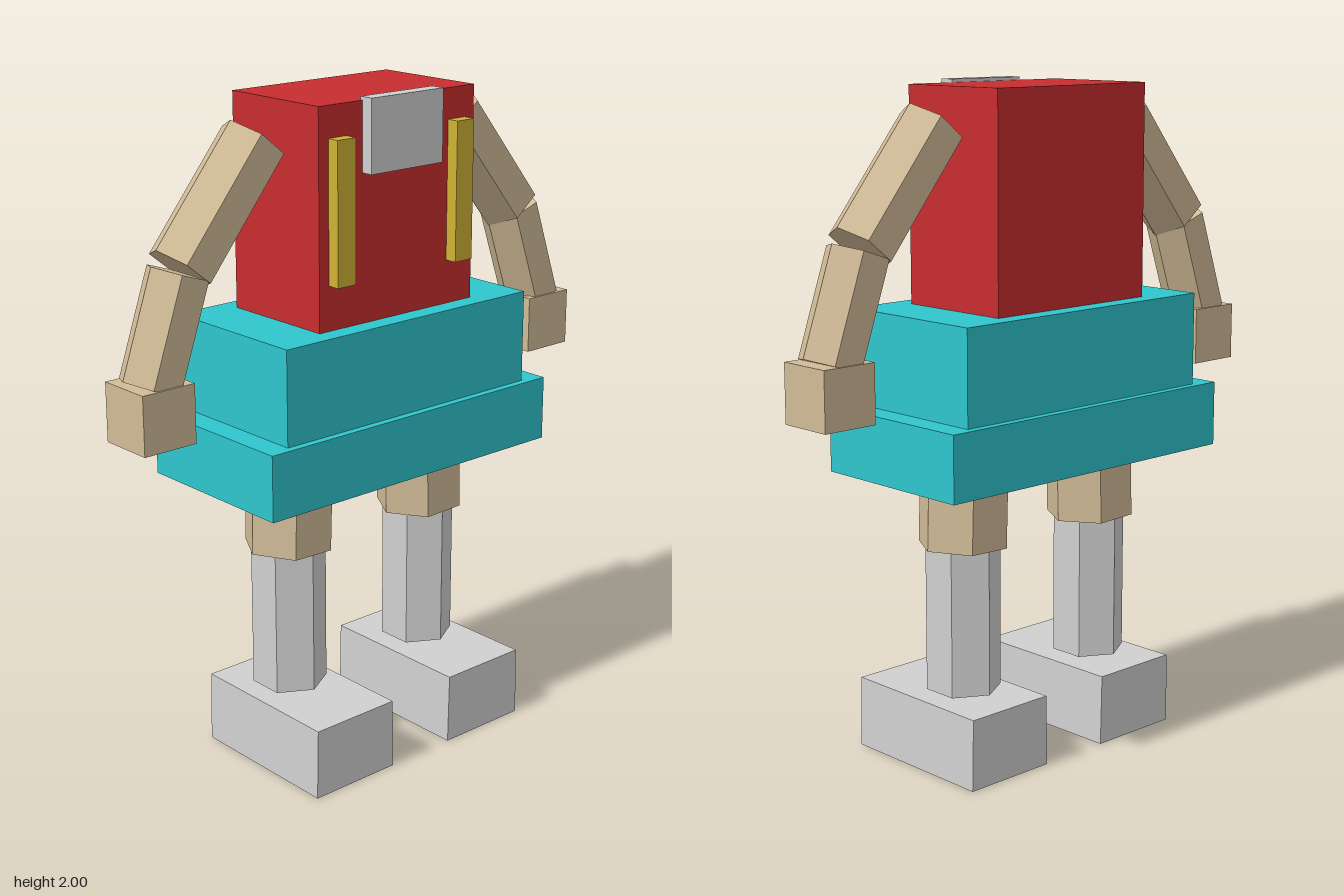
import * as THREE from 'three';

const mat = (name, color) => {
  const m = new THREE.MeshStandardMaterial({ color });
  m.name = name;
  return m;
};

export function createModel() {
  const red = mat('red', 0xc82d2f);
  const teal = mat('teal', 0x2fc5cd);
  const tan = mat('tan', 0xd2bc98);
  const grey = mat('light grey', 0xd0d0d0);
  const yellow = mat('yellow', 0xcfb235);
  const model = new THREE.Group();
  model.name = 'figure';
  const midZ = -0.017;

  const add = (parent, name, geometry, material) => {
    const mesh = new THREE.Mesh(geometry, material);
    mesh.name = name;
    parent.add(mesh);
    return mesh;
  };

  // Box given by its limits on each axis
  const box = (parent, name, material, [x0, x1], [y0, y1], [z0, z1]) => {
    const g = new THREE.BoxGeometry(x1 - x0, y1 - y0, z1 - z0);
    g.translate((x0 + x1) / 2, (y0 + y1) / 2, (z0 + z1) / 2);
    return add(parent, name, g, material);
  };

  // Six-sided limb between two points of the xy plane; turn puts a corner on x
  const limb = (parent, name, material, radius, [x0, y0], [x1, y1], turn) => {
    const dx = x1 - x0, dy = y1 - y0;
    let g = new THREE.CylinderGeometry(radius, radius, Math.hypot(dx, dy), 6);
    if (turn) g.rotateY(Math.PI / 6);
    g.rotateZ(Math.atan2(-dx, dy));
    g.translate((x0 + x1) / 2, (y0 + y1) / 2, midZ);
    g = g.toNonIndexed();
    g.computeVertexNormals();
    return add(parent, name, g, material);
  };

  // Body and stepped skirt
  box(model, 'torso', red, [-0.293, 0.293], [1.36, 1.99], [-0.203, 0.167]);
  box(model, 'skirtTop', teal, [-0.462, 0.462], [1.08, 1.36], [-0.261, 0.227]);
  box(model, 'skirtHem', teal, [-0.536, 0.536], [0.885, 1.08], [-0.285, 0.25]);
  box(model, 'collarPlate', grey, [-0.135, 0.135], [1.79, 2.0], [0.16, 0.205]);

  for (const s of [1, -1]) {
    const side = s > 0 ? 'left' : 'right';
    const span = (a, b) => (s > 0 ? [a, b] : [-b, -a]);

    box(model, side + 'Strap', yellow, span(0.192, 0.258), [1.49, 1.9], [0.16, 0.205]);

    // Arm
    const arm = new THREE.Group();
    arm.name = side + 'Arm';
    limb(arm, side + 'UpperArm', tan, 0.099, [s * 0.63, 1.568], [s * 0.37, 1.886], true);
    limb(arm, side + 'Forearm', tan, 0.093, [s * 0.742, 1.258], [s * 0.637, 1.558], true);
    box(arm, side + 'Hand', tan, span(0.655, 0.828), [1.097, 1.27], [-0.103, 0.07]);

    // Leg
    const leg = new THREE.Group();
    leg.name = side + 'Leg';
    limb(leg, side + 'Thigh', tan, 0.135, [s * 0.265, 0.667], [s * 0.256, 0.96], true);
    limb(leg, side + 'Shin', grey, 0.112, [s * 0.263, 0.23], [s * 0.263, 0.68], false);

    // Foot, slightly narrower at the top
    const foot = new THREE.BoxGeometry(0.3, 0.215, 0.504);
    const p = foot.attributes.position;
    for (let i = 0; i < p.count; i++) if (p.getY(i) > 0) p.setX(i, p.getX(i) * 0.97);
    foot.computeVertexNormals();
    add(leg, side + 'Foot', foot, grey).position.set(s * 0.264, 0.1075, 0.033);

    model.add(arm, leg);
  }
  return model;
}
